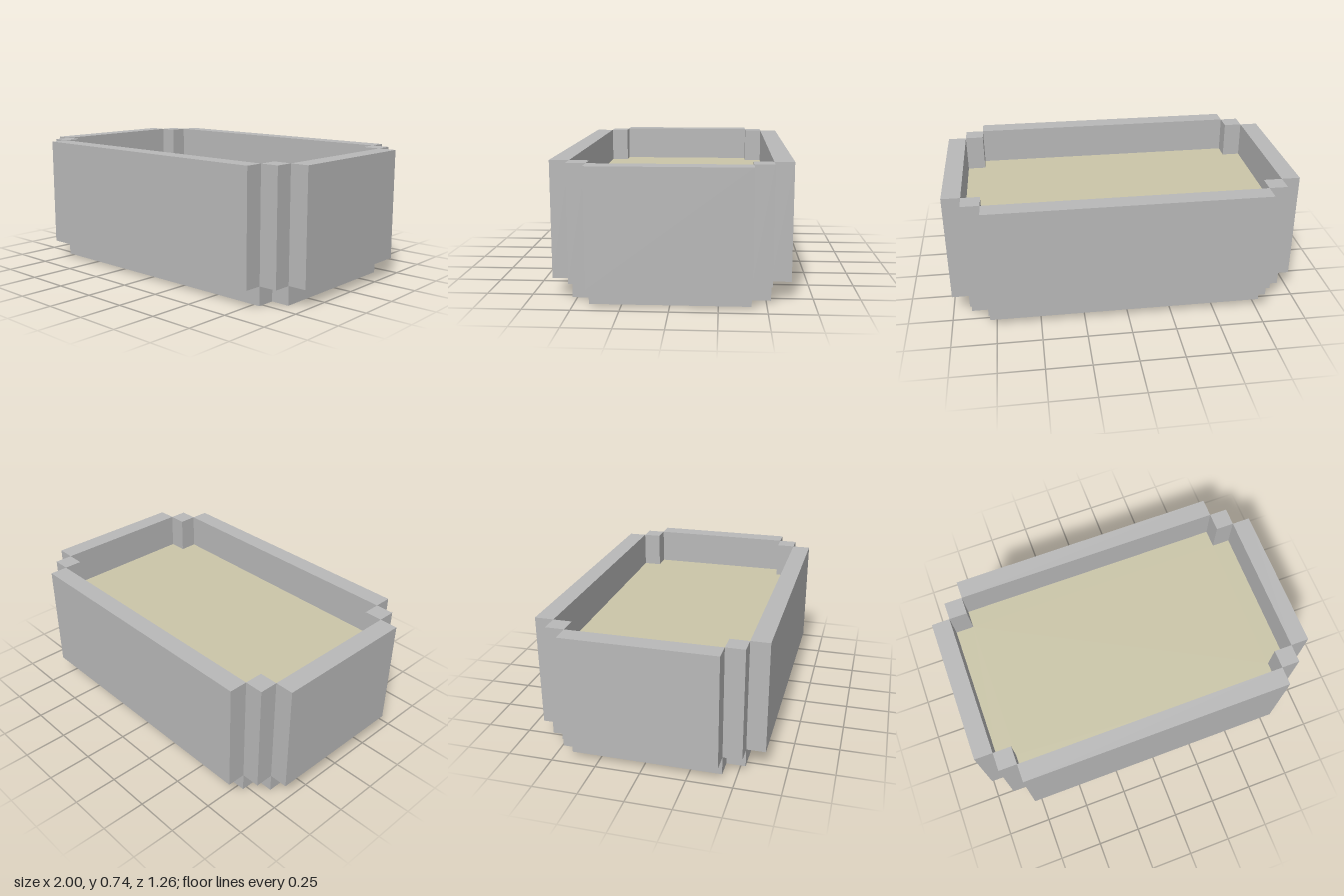
import * as THREE from 'three';

// The whole planter sits on a regular grid: 19 units long, 12 deep, 7 high.
const U = 2 / 19;

export function createModel() {
  const model = new THREE.Group();
  model.name = 'planterBox';

  const stone = new THREE.MeshStandardMaterial({ color: 0xb8b8b8 });
  stone.name = 'grey stone';
  const sand = new THREE.MeshStandardMaterial({ color: 0xcac5a8 });
  sand.name = 'pale sand';

  const add = (name, geometry, material, x, y, z) => {
    const mesh = new THREE.Mesh(geometry, material);
    mesh.name = name;
    mesh.position.set(x * U, y * U, z * U);
    model.add(mesh);
  };
  const box = (w, h, d) => new THREE.BoxGeometry(w * U, h * U, d * U);

  // Rectangle with a one-unit notch at each corner, extruded upwards
  const notchedSlab = (height) => {
    const outline = [
      [8.5, -4], [8.5, 4], [7.5, 4], [7.5, 5], [-7.5, 5], [-7.5, 4],
      [-8.5, 4], [-8.5, -4], [-7.5, -4], [-7.5, -5], [7.5, -5], [7.5, -4],
    ].map(([x, z]) => new THREE.Vector2(x * U, z * U));
    return new THREE.ExtrudeGeometry(new THREE.Shape(outline), {
      depth: height * U, bevelEnabled: false,
    }).rotateX(-Math.PI / 2);
  };

  // Base and the filling, which stops two units below the rim
  add('base', notchedSlab(1), stone, 0, 0, 0);
  add('filling', notchedSlab(4), sand, 0, 1, 0);

  // Wall panels, set one unit outside the base
  add('frontWall', box(15, 6, 1), stone, 0, 4, 5.5);
  add('backWall', box(15, 6, 1), stone, 0, 4, -5.5);
  add('leftWall', box(1, 6, 8), stone, 9, 4, 0);
  add('rightWall', box(1, 6, 8), stone, -9, 4, 0);

  // Corner posts closing the gaps between panels
  for (const [side, x] of [['Left', 8], ['Right', -8]]) {
    for (const [end, z] of [['front', 4.5], ['back', -4.5]]) {
      add(`${end}${side}Post`, box(1, 6, 1), stone, x, 4, z);
    }
  }
  return model;
}
